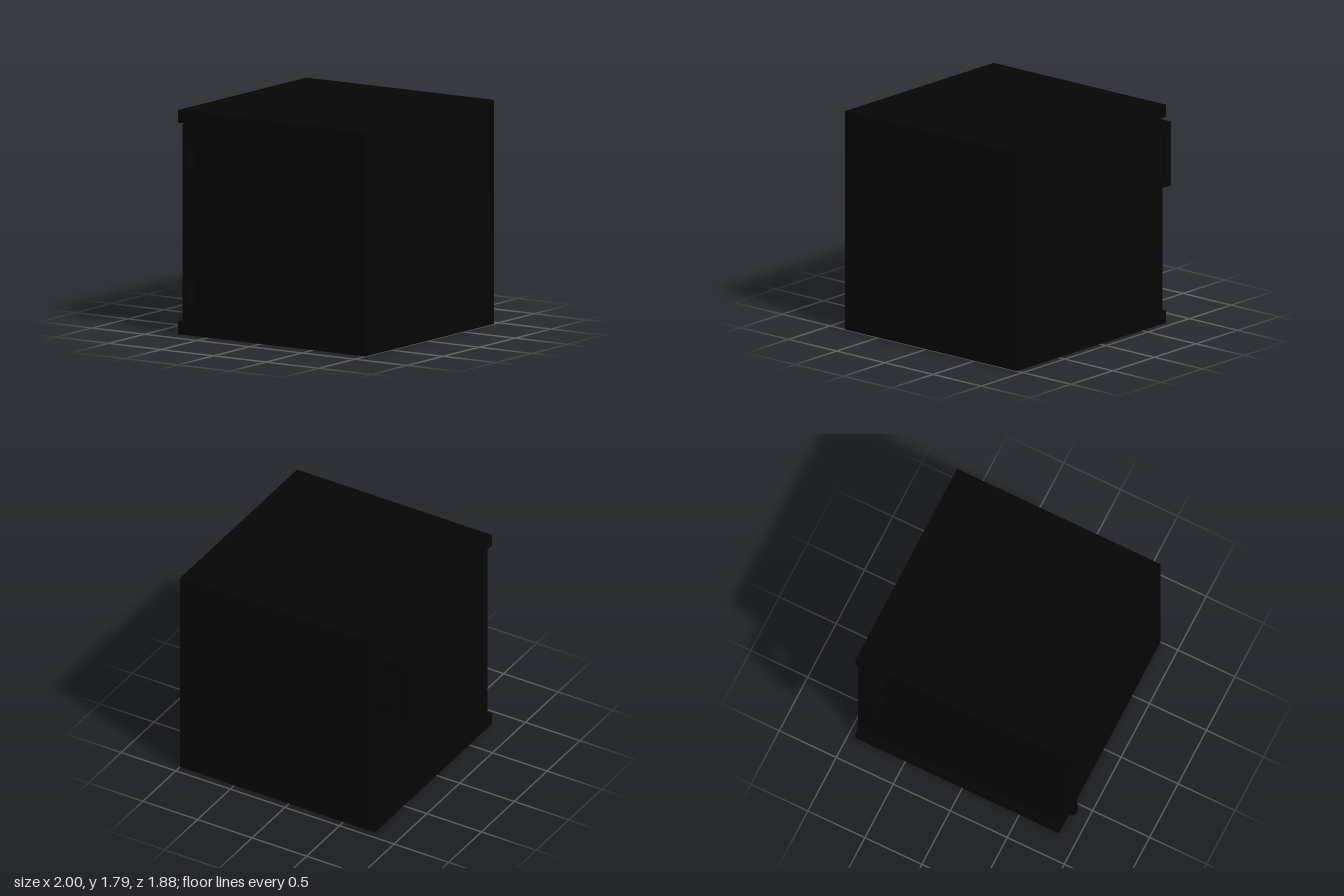
import * as THREE from 'three';

export function createModel() {
  const model = new THREE.Group();
  const black = new THREE.MeshStandardMaterial({ color: 0x050505 });
  black.name = 'black';

  // Adds a part from its lower and upper corners
  function box(parent, name, a, b) {
    const geometry = new THREE.BoxGeometry(b[0] - a[0], b[1] - a[1], b[2] - a[2]);
    const mesh = new THREE.Mesh(geometry, black);
    mesh.name = name;
    mesh.position.set((a[0] + b[0]) / 2, (a[1] + b[1]) / 2, (a[2] + b[2]) / 2);
    parent.add(mesh);
  }

  const back = -0.938, front = 0.848, height = 1.786, wall = 0.1;
  const lip = -0.787, opening = -0.655, doorFace = -0.745;

  // Hollow cabinet, open towards -x, with top and bottom overhanging the door
  const cabinet = new THREE.Group();
  cabinet.name = 'cabinet';
  model.add(cabinet);
  box(cabinet, 'bottomPanel', [lip, 0, back], [1, wall, front]);
  box(cabinet, 'topPanel', [lip, height - wall, back], [1, height, front]);
  box(cabinet, 'frontWall', [opening, wall, front - wall], [1, height - wall, front]);
  box(cabinet, 'backWall', [opening, wall, back], [1, height - wall, back + wall]);
  box(cabinet, 'rearWall', [1 - wall, wall, back + wall], [1, height - wall, front - wall]);

  // Door with a thin gap above and below
  const door = new THREE.Group();
  door.name = 'door';
  model.add(door);
  box(door, 'doorPanel', [doorFace, wall + 0.008, back], [opening, height - wall - 0.008, front]);

  // Handle: two stubs and an upright grip
  const handle = new THREE.Group();
  handle.name = 'handle';
  door.add(handle);
  box(handle, 'grip', [-1, 1.055, -0.81], [-0.925, 1.575, -0.7]);
  for (const y of [1.055, 1.475]) {
    box(handle, 'handleStub', [-0.925, y, -0.81], [doorFace, y + 0.1, -0.7]);
  }

  // Hinge barrels along the door edge
  for (const y of [0.352, 1.427]) {
    const hinge = new THREE.Mesh(new THREE.CylinderGeometry(0.045, 0.045, 0.176, 32), black);
    hinge.name = 'hinge';
    hinge.position.set(opening, y, 0.893);
    model.add(hinge);
  }
  return model;
}
